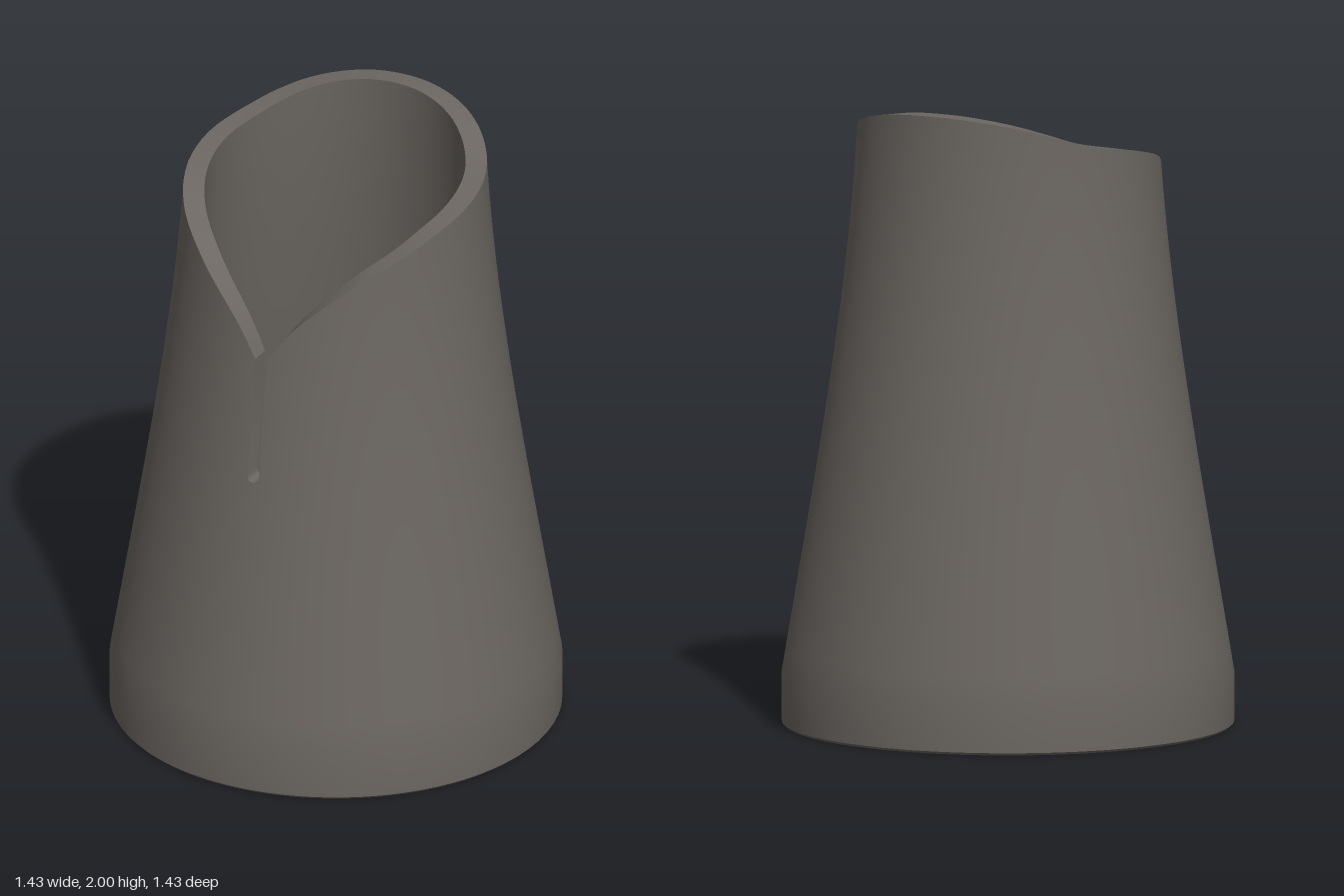
import * as THREE from 'three';
import { toCreasedNormals } from 'three/addons/utils/BufferGeometryUtils.js';

const BAND = 0.165;     // height of the straight foot band
const SLIT = 0.02;      // half width of the front slit
const BEVEL = 0.008;

// Outer and inner wall radius at a height; the wall thickens toward the foot
const outerR = (y) => {
  const s = Math.max(0, y - BAND);
  return 0.717 - 0.1644 * s - 0.0156 * s ** 2 + 0.018 * s ** 3;
};
const innerR = (y) => {
  const s = Math.max(0, y - BAND);
  return outerR(y) - 0.068 - 0.017 * Math.max(0, 1 - s / 0.85) ** 2;
};

// Rim height around half the turn: [degrees from the front, height]
const RIM = [
  [0, 1.43], [4, 1.485], [10, 1.55], [19, 1.62], [36, 1.72], [52, 1.78], [66, 1.825], [90, 1.87],
  [115, 1.905], [129, 1.937], [142, 1.965], [155, 1.985], [168, 1.997], [180, 2],
];

// Columns around the wall: an angle for a given radius, and a top height
function makeColumns() {
  const mirrored = RIM.slice(0, -1).reverse().map(([a, h]) => [360 - a, h]);
  const pts = [...RIM, ...mirrored].map(([a, h]) => new THREE.Vector3(a / 180, h, 0));
  const columns = new THREE.CatmullRomCurve3(pts).getPoints(130).map((p) => ({
    top: Math.min(p.y, 2),
    angle: (r) => {
      const edge = Math.asin(SLIT / r);
      return edge + p.x * (Math.PI - edge);
    },
  }));
  // Narrow strip below the slit, with a round slit end
  for (let i = 0; i <= 8; i++) {
    const x = -SLIT * Math.cos((Math.PI * i) / 8);
    columns.push({
      top: 1.04 - Math.sqrt(Math.max(0, SLIT * SLIT - x * x)),
      angle: (r) => Math.asin(x / r),
    });
  }
  columns.push(columns[0]);
  return columns;
}

const at = (col, r, y) => {
  const a = col.angle(r);
  return [r * Math.sin(a), y, r * Math.cos(a)];
};

// Surface from columns and rows; point(col, j) gives each corner
function surface(columns, rows, point, { flip = false, skipSlit = true } = {}) {
  const pos = [], index = [];
  columns.forEach((col) => {
    for (let j = 0; j <= rows; j++) pos.push(...point(col, j));
  });
  for (let i = 0; i < columns.length - 1; i++) {
    if (skipSlit && Math.abs(columns[i].top - columns[i + 1].top) > 0.2) continue;
    for (let j = 0; j < rows; j++) {
      const a = i * (rows + 1) + j, b = a + rows + 1;
      if (flip) index.push(a, b + 1, b, a, a + 1, b + 1);
      else index.push(a, b, b + 1, a, b + 1, a + 1);
    }
  }
  const g = new THREE.BufferGeometry();
  g.setAttribute('position', new THREE.Float32BufferAttribute(pos, 3));
  g.setIndex(index);
  return toCreasedNormals(g, 0.5);
}

export function createModel() {
  const group = new THREE.Group();
  const material = new THREE.MeshStandardMaterial({ color: 0x6b6661 });
  material.name = 'warm grey';
  const add = (name, geometry) => {
    const mesh = new THREE.Mesh(geometry, material);
    mesh.name = name;
    group.add(mesh);
  };

  const columns = makeColumns();
  // One row for the foot band, shared rows up to y = 1, then rows stretched to the rim
  const LOW = 11, HIGH = 14;
  const rowY = (col, j, bottom) => {
    if (j === 0) return bottom;
    if (j <= LOW) return BAND + ((1 - BAND) * (j - 1)) / (LOW - 1);
    return 1 + ((col.top - 1) * (j - LOW)) / HIGH;
  };

  // Tapering sleeve with its straight foot, outside and inside
  add('outerSleeve', surface(columns, LOW + HIGH, (c, j) => {
    const y = rowY(c, j, BEVEL);
    return at(c, outerR(y), y);
  }));
  add('innerSleeve', surface(columns, LOW + HIGH, (c, j) => {
    const y = rowY(c, j, 0);
    return at(c, innerR(y), y);
  }, { flip: true }));

  // Curved rim, including the walls and floor of the slit
  add('rimAndSlit', surface(columns, 1, (c, j) => at(c, (j ? innerR : outerR)(c.top), c.top),
    { skipSlit: false }));

  // Flat underside with a small bevel at the outer edge
  const foot = [[innerR(0), 0], [outerR(0) - BEVEL, 0], [outerR(0), BEVEL]];
  add('footUnderside', surface(columns, 2, (c, j) => at(c, ...foot[j]), { skipSlit: false }));

  return group;
}
